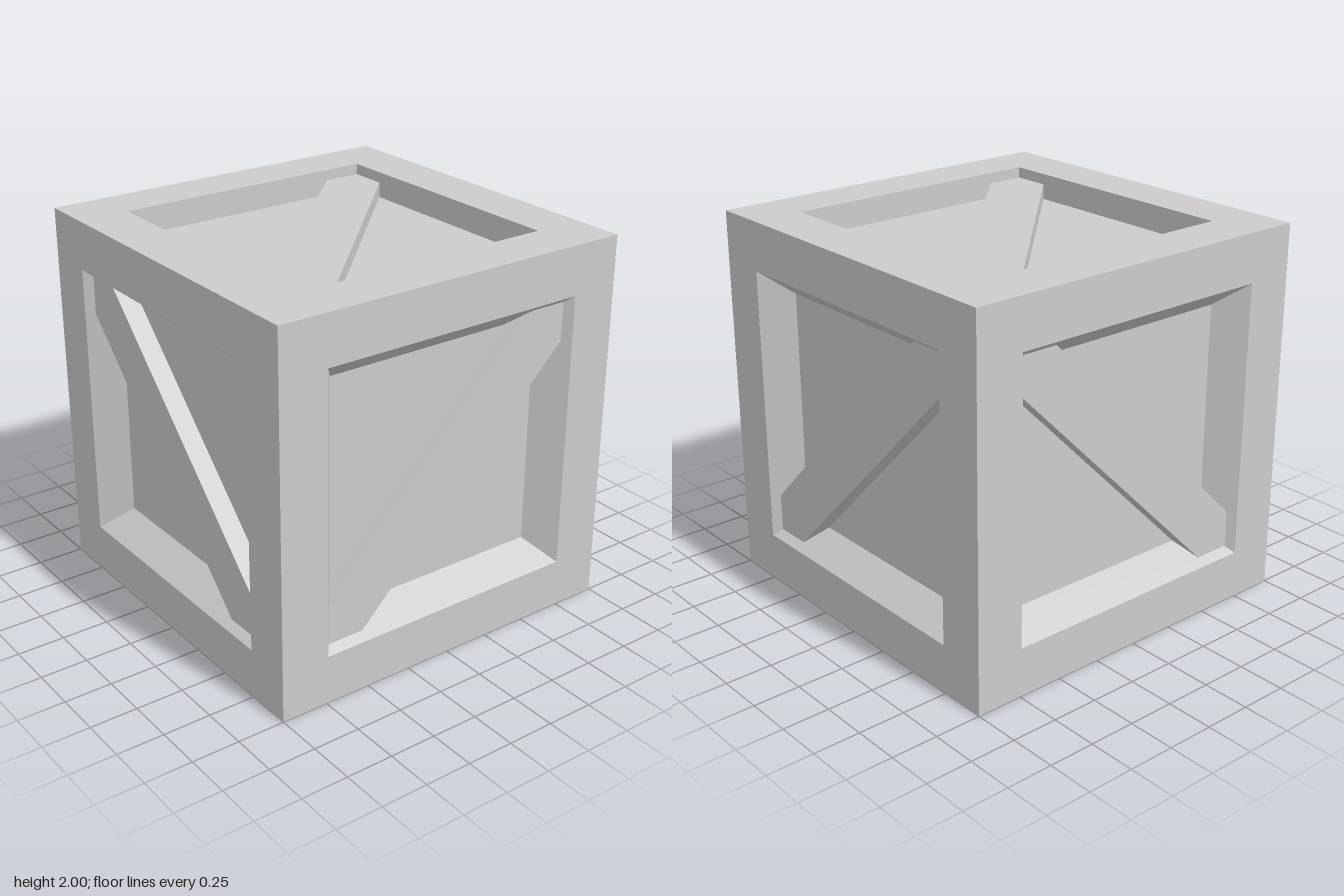
import * as THREE from 'three';

const material = new THREE.MeshStandardMaterial({ color: 0xcccccc, flatShading: true });

function addMesh(parent, name, geometry) {
  const mesh = new THREE.Mesh(geometry, material);
  mesh.name = name;
  parent.add(mesh);
  return mesh;
}

// One recessed crate side, facing +z: flat rim, recess walls, sunken board, diagonal brace
function createSide(name, { outer, inner, depth, braceReach, braceCut, braceDrop, flip }) {
  const side = new THREE.Group();
  side.name = name;

  // A four-sided lathe gives the square rim and the recess walls
  const profile = [[1, 1], [outer, 1], [inner, 1 - depth]]
    .map(([half, height]) => new THREE.Vector2(half * Math.SQRT2, height));
  const frame = new THREE.LatheGeometry(profile, 4, Math.PI / 4).toNonIndexed();
  frame.computeVertexNormals();
  frame.rotateX(Math.PI / 2);
  addMesh(side, 'frame', frame);

  const board = new THREE.PlaneGeometry(inner * 2, inner * 2);
  addMesh(side, 'board', board.translate(0, 0, 1 - depth));

  // Brace from upper left to lower right, its ends squared off to the corners
  const r = braceReach, c = braceCut, s = flip ? -1 : 1;
  const outline = [[-r, r], [-r, c], [c, -r], [r, -r], [r, -c], [-c, r]]
    .map(([x, y]) => new THREE.Vector2(x * s, y));
  const brace = new THREE.ExtrudeGeometry(new THREE.Shape(outline),
    { depth: depth - braceDrop, bevelEnabled: false });
  addMesh(side, 'brace', brace.translate(0, 0, 1 - depth));
  return side;
}

export function createModel() {
  const crate = new THREE.Group();
  crate.name = 'crate';

  // Four upright sides with slanted recess walls
  const upright = { outer: 0.74, inner: 0.62, depth: 0.15, braceReach: 0.706, braceCut: 0.505, braceDrop: 0.043 };
  [['frontSide', 0, false], ['leftSide', 1, true], ['backSide', 2, true], ['rightSide', 3, false]]
    .forEach(([name, turn, flip]) => {
      const side = createSide(name, { ...upright, flip });
      side.rotation.y = turn * Math.PI / 2;
      side.position.y = 1;
      crate.add(side);
    });

  // Lid with straight recess walls
  const lid = createSide('lid',
    { outer: 0.73, inner: 0.73, depth: 0.14, braceReach: 0.73, braceCut: 0.523, braceDrop: 0.058, flip: false });
  lid.rotation.x = -Math.PI / 2;
  lid.position.y = 1;
  crate.add(lid);

  // Plain base
  addMesh(crate, 'base', new THREE.PlaneGeometry(2, 2).rotateX(Math.PI / 2));
  return crate;
}
